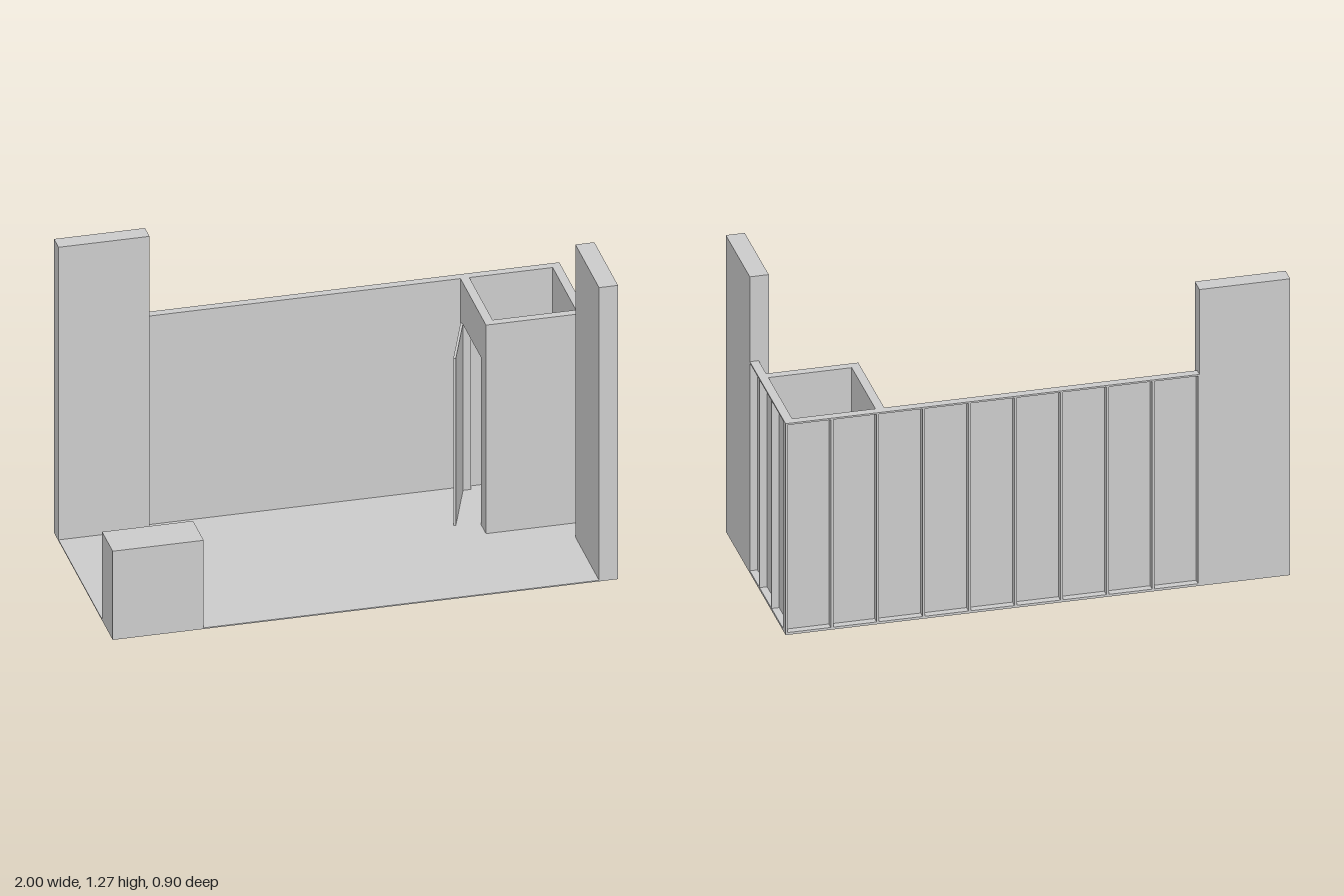
import * as THREE from 'three';

const material = new THREE.MeshStandardMaterial({ color: 0xcccccc });
const BACK = -0.453, FRONT = 0.452, WALL_H = 0.91, WALL_T = 0.035, TALL = 1.275;

// Box given by its min and max on each axis
function block(name, x0, x1, y0, y1, z0, z1) {
  const mesh = new THREE.Mesh(new THREE.BoxGeometry(x1 - x0, y1 - y0, z1 - z0), material);
  mesh.name = name;
  mesh.position.set((x0 + x1) / 2, (y0 + y1) / 2, (z0 + z1) / 2);
  return mesh;
}

// Panel wall along +x from the origin: smooth skin at z = WALL_T, open frame towards z = 0
function framedWall(name, length, pitch) {
  const wall = new THREE.Group();
  wall.name = name;
  const skin = WALL_T - 0.005;
  wall.add(block('wallSkin', 0, length, 0, WALL_H, skin, WALL_T));
  wall.add(block('bottomRail', 0, length, 0, 0.01, 0, skin));
  wall.add(block('topRail', 0, length, WALL_H - 0.007, WALL_H, 0, skin));
  for (let x = 0; x < length + 0.001; x += pitch) {
    const a = Math.max(0, x - 0.005), b = Math.min(length, x + 0.005);
    wall.add(block('frameRib', a, b, 0.01, WALL_H - 0.007, 0, skin));
  }
  return wall;
}

export function createModel() {
  const model = new THREE.Group();
  model.name = 'exhibitionBooth';

  // Floor, tall panels and counter
  model.add(block('floor', -1, 1, 0, 0.005, BACK, FRONT));
  model.add(block('backTower', -1, -0.64, 0, TALL, BACK, -0.383));
  model.add(block('sideTower', 0.925, 1, 0, TALL, 0.088, FRONT));
  model.add(block('counter', -1, -0.64, 0, 0.385, 0.288, FRONT));

  // Framed back wall, measured from the left corner
  const pitch = 0.182;
  const backWall = framedWall('backWall', 1.64, pitch);
  backWall.position.set(-0.64, 0, BACK);
  model.add(backWall);

  // Framed side wall, turned so its ribs face +x
  const sideStart = BACK + WALL_T;
  const sideWall = framedWall('sideWall', 0.09 - sideStart, pitch);
  sideWall.rotation.y = -Math.PI / 2;
  sideWall.position.set(1, 0, sideStart);
  model.add(sideWall);

  // Storage closet with a door opening in its inner side
  const closet = new THREE.Group();
  closet.name = 'closet';
  const doorH = 0.73, hingeZ = -0.39, doorW = 0.288;
  closet.add(
    block('closetFront', 0.6, 0.965, 0, WALL_H, -0.06, -0.025),
    block('hingeJamb', 0.6, 0.635, 0, WALL_H, sideStart, hingeZ),
    block('latchJamb', 0.6, 0.635, 0, WALL_H, hingeZ + doorW, -0.06),
    block('lintel', 0.6, 0.635, doorH, WALL_H, hingeZ, hingeZ + doorW)
  );
  model.add(closet);

  // Door leaf standing ajar
  const door = new THREE.Group();
  door.name = 'door';
  door.add(block('doorLeaf', -0.01, 0, 0.005, doorH, 0, doorW));
  door.position.set(0.603, 0, hingeZ);
  door.rotation.y = -0.347;
  model.add(door);

  return model;
}
